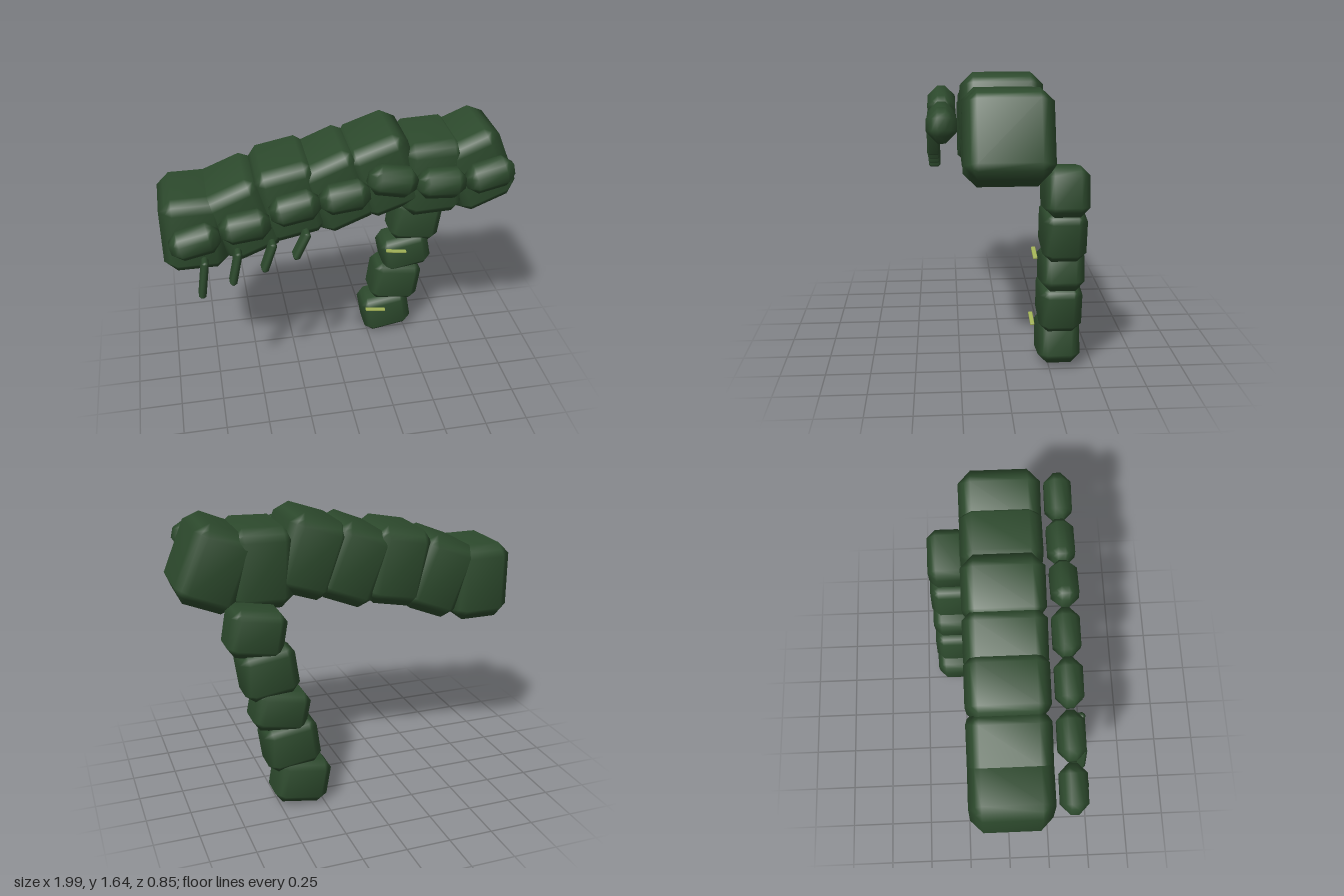
import * as THREE from 'three';
import { mergeVertices } from 'three/addons/utils/BufferGeometryUtils.js';

// Box with flat 45 degree chamfers of size c and softly shaded faces
function chamferBox(w, h, d, c) {
  let g = new THREE.BoxGeometry(1, 1, 1, 3, 3, 3);
  g.deleteAttribute('normal');
  g.deleteAttribute('uv');
  g = mergeVertices(g);
  const half = [w / 2, h / 2, d / 2];
  const p = g.attributes.position;
  for (let i = 0; i < p.count; i++) {
    const v = [p.getX(i), p.getY(i), p.getZ(i)];
    const outer = v.map((a) => Math.abs(a) > 0.4);
    const n = outer.filter(Boolean).length;
    // 1 = on a face, 2 = middle of an edge chamfer, 3 = middle of a corner
    const inset = [0, 0, c / 2, (2 * c) / 3][n];
    const q = v.map((a, k) => Math.sign(a) * (half[k] - (outer[k] ? inset : c)));
    p.setXYZ(i, ...q);
  }
  g.computeVertexNormals();
  return g;
}

export function createModel() {
  const model = new THREE.Group();
  const green = new THREE.MeshStandardMaterial({ color: 0x2d4a2d });
  green.name = 'dark green';
  const lime = new THREE.MeshStandardMaterial({ color: 0xa3b457 });
  lime.name = 'pale lime';

  // Adds a group of tilted blocks; each row is x, y, tilt in degrees, height
  function addRow(name, partName, material, rows, [w, d, c], z) {
    const group = new THREE.Group();
    group.name = name;
    rows.forEach(([x, y, tilt, h], i) => {
      const mesh = new THREE.Mesh(chamferBox(w, h, d, c), material);
      mesh.name = partName + (i + 1);
      mesh.position.set(x, y, z);
      mesh.rotation.z = THREE.MathUtils.degToRad(tilt);
      group.add(mesh);
    });
    model.add(group);
  }

  // Large body segments, rising from -x to +x
  addRow('body', 'bodySegment', green, [
    [-0.82, 1.143, 0, 0.455],
    [-0.552, 1.2, 22, 0.455],
    [-0.289, 1.288, 11, 0.455],
    [-0.025, 1.323, 22, 0.455],
    [0.235, 1.393, 19, 0.455],
    [0.51, 1.356, 2, 0.455],
    [0.764, 1.376, 22.5, 0.455],
  ], [0.36, 0.45, 0.07], 0.007);

  // Hanging chain of blocks behind the body
  addRow('stalk', 'stalkSegment', green, [
    [0.37, 0.15, 10, 0.265],
    [0.428, 0.385, -8, 0.275],
    [0.484, 0.605, 11, 0.24],
    [0.545, 0.834, -8, 0.28],
    [0.607, 1.065, 10, 0.265],
  ], [0.31, 0.235, 0.05], -0.303);

  // Row of small pods in front of the body
  addRow('pods', 'pod', green, [
    [-0.824, 1.203, 12, 0.17],
    [-0.556, 1.265, 6, 0.17],
    [-0.289, 1.35, 10, 0.17],
    [-0.021, 1.388, 6, 0.17],
    [0.235, 1.46, -12, 0.17],
    [0.503, 1.42, -4, 0.17],
    [0.77, 1.441, 13, 0.17],
  ], [0.27, 0.15, 0.055], 0.333);

  // Thin legs below the pods
  addRow('legs', 'leg', green, [
    [-0.797, 1.003, -8, 0.235],
    [-0.623, 1.053, -12, 0.21],
    [-0.444, 1.102, -19, 0.185],
    [-0.267, 1.154, -25, 0.175],
  ], [0.04, 0.078, 0.014], 0.386);

  // Pale thorns in front of every other stalk block
  addRow('thorns', 'thorn', lime, [
    [0.285, 0.22, -9, 0.015],
    [0.408, 0.66, -9, 0.015],
    [0.518, 1.105, -9, 0.015],
  ], [0.13, 0.024, 0.003], -0.167);

  return model;
}
